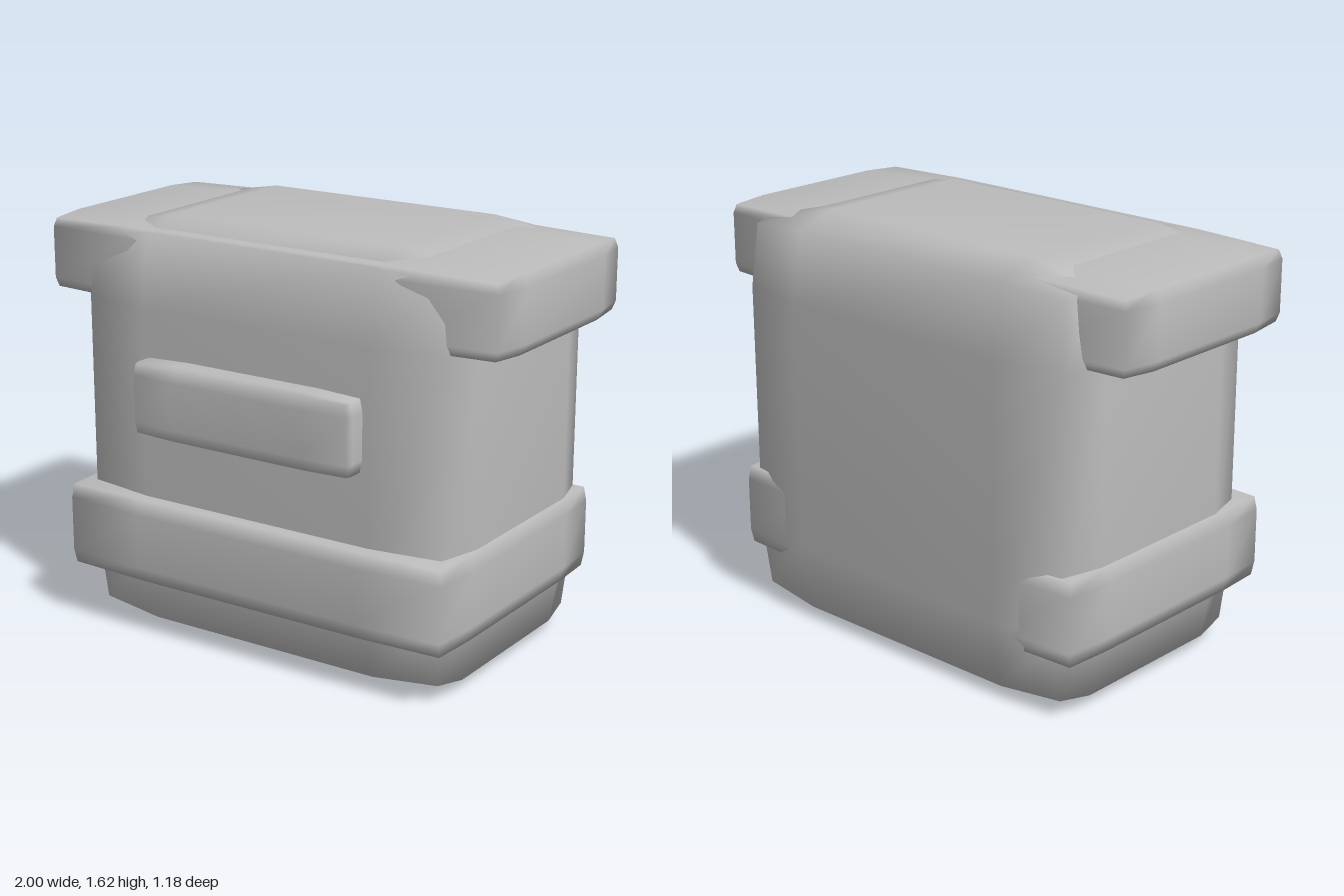
import * as THREE from 'three';
import { mergeVertices } from 'three/addons/utils/BufferGeometryUtils.js';

// Softly pillowed box: flat core on every face, edges and corners pulled inward.
// min, max: extents; core: inset of the flat area; edge: inset of edges, per axis.
function pillowBox(min, max, core, edge) {
  const geo = new THREE.BoxGeometry(2, 2, 2, 3, 3, 3);
  const pos = geo.attributes.position;
  for (let i = 0; i < pos.count; i++) {
    const p = [pos.getX(i), pos.getY(i), pos.getZ(i)];
    const outer = p.filter((v) => Math.abs(v) > 0.9).length;
    const pull = [0, 0, 1, 1.45][outer];
    const q = p.map((v, a) => {
      const inset = Math.abs(v) > 0.9 ? edge[a] * pull : core[a];
      return v > 0 ? max[a] - inset : min[a] + inset;
    });
    pos.setXYZ(i, ...q);
  }
  geo.deleteAttribute('normal');
  geo.deleteAttribute('uv');
  const smooth = mergeVertices(geo, 1e-4);
  smooth.computeVertexNormals();
  return smooth;
}

export function createModel() {
  const group = new THREE.Group();
  const grey = new THREE.MeshStandardMaterial({ color: 0xbcbcbc });
  grey.name = 'grey';

  const add = (name, ...box) => {
    const mesh = new THREE.Mesh(pillowBox(...box), grey);
    mesh.name = name;
    group.add(mesh);
  };

  // Main rounded block
  add('body', [-0.83, 0, -0.59], [0.83, 1.625, 0.49], [0.33, 0.32, 0.21], [0.046, 0.05, 0.048]);
  // Wide bar through the top, sticking out on both sides
  add('topBar', [-1, 1.285, -0.475], [1, 1.605, 0.44], [0.4, 0.06, 0.17], [0.025, 0.018, 0.017]);
  // Band around the lower front and sides
  add('lowerBand', [-0.853, 0.228, -0.578], [0.853, 0.572, 0.555], [0.36, 0.065, 0.22], [0.016, 0.007, 0.02]);
  // Raised plate on the front
  add('frontPlate', [-0.48, 0.838, 0.4], [0.48, 1.127, 0.593], [0.19, 0.055, 0.04], [0.01, 0.008, 0.012]);

  return group;
}
